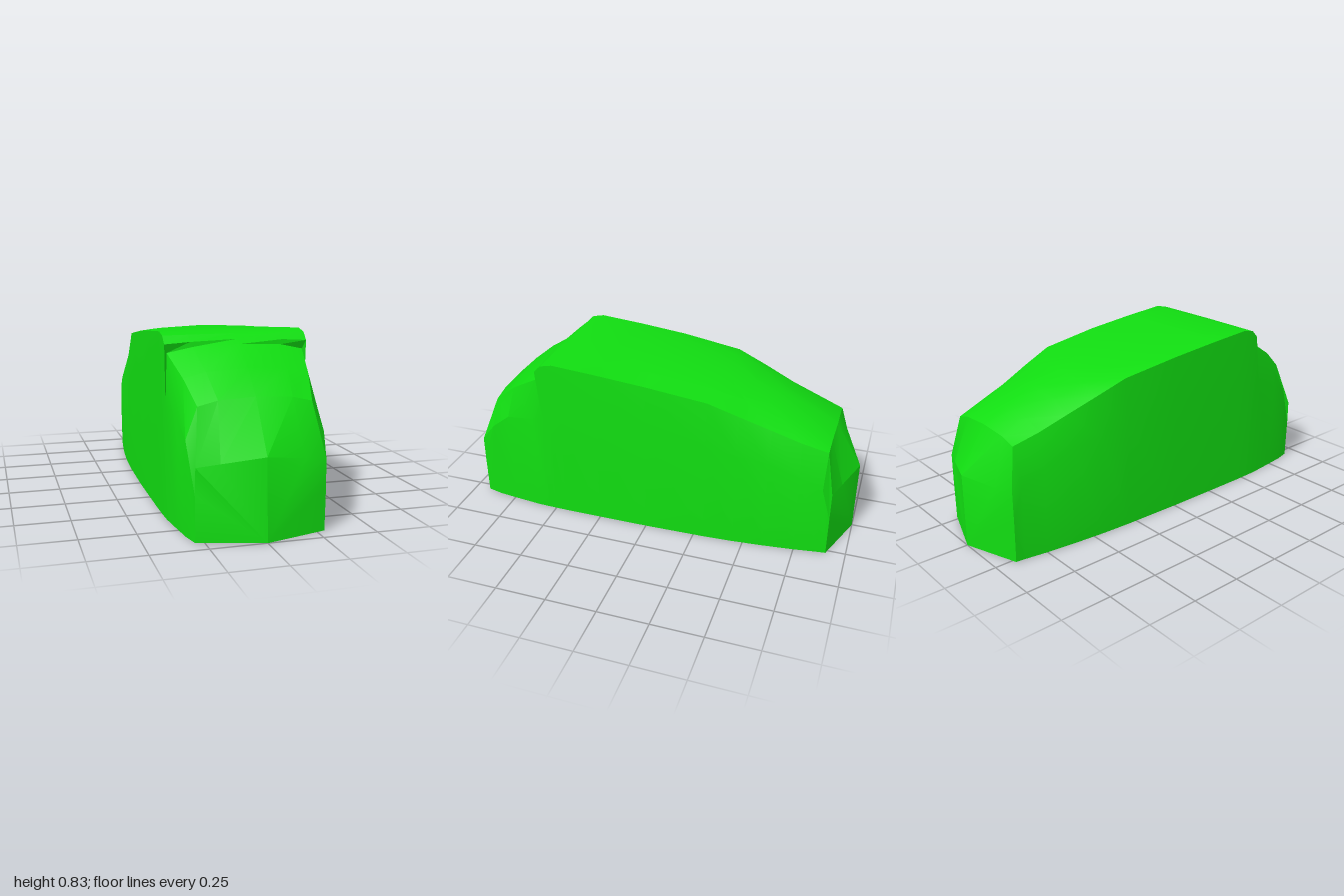
import * as THREE from 'three';
import { toCreasedNormals } from 'three/addons/utils/BufferGeometryUtils.js';

// Stations from nose to tail:
// [centre z, centre y, edge x, edge y, edge z, side x, shoulder y, side z, roundness]
const STATIONS = [
  [0.98, 0.36, 0.288, 0.32, 0.92, 0.29, 0.2, 0.92, 0], // nose
  [0.83, 0.585, 0.255, 0.555, 0.83, 0.309, 0.42, 0.84, 0.8], // windscreen base
  [0.72, 0.69, 0.285, 0.655, 0.71, 0.321, 0.5, 0.74, 0.8],
  [0.6, 0.78, 0.318, 0.745, 0.55, 0.336, 0.52, 0.6, 0.8], // windscreen top
  [0.565, 0.8, 0.332, 0.785, 0.565, 0.338, 0.54, 0.54, 0.3], // roof lip
  [0.53, 0.822, 0.333, 0.82, 0.53, 0.339, 0.55, 0.5, 0.3],
  [0.47, 0.835, 0.333, 0.833, 0.47, 0.34, 0.55, 0.44, 0.3], // roof front
  [0.25, 0.825, 0.331, 0.815, 0.25, 0.34, 0.55, 0.25, 0.4],
  [0, 0.812, 0.327, 0.79, 0, 0.339, 0.54, 0, 0.5],
  [-0.3, 0.778, 0.314, 0.748, -0.3, 0.332, 0.52, -0.3, 0.7],
  [-0.45, 0.743, 0.292, 0.69, -0.45, 0.324, 0.5, -0.45, 0.8],
  [-0.6, 0.698, 0.265, 0.63, -0.6, 0.311, 0.48, -0.6, 0.8],
  [-0.75, 0.635, 0.25, 0.58, -0.74, 0.294, 0.42, -0.75, 0.8],
  [-0.87, 0.575, 0.228, 0.54, -0.865, 0.277, 0.36, -0.86, 0.7], // tail top
  [-1, 0.36, 0.27, 0.34, -0.905, 0.272, 0.2, -0.905, 0], // tail
];

// One closed ring: centre, over the +x side, under the floor, back up the -x side
function ring([cz, cy, ex, ey, ez, sx, sy, sz, round], floorZ) {
  const f = 0.65;
  const drop = THREE.MathUtils.lerp(f, 0.2, round);
  const half = [
    [f * ex, cy + (ey - cy) * drop, cz + (ez - cz) * f],
    [ex, ey, ez],
    [sx, sy, sz],
    [sx - 0.002, 0, sz],
  ];
  const mirrored = half.map(([x, y, z]) => [-x, y, z]).reverse();
  return [[0, cy, cz], ...half, [0, 0, floorZ], ...mirrored];
}

function bodyGeometry() {
  const last = STATIONS.length - 1;
  const rings = STATIONS.map((s, i) => ring(s, i === 0 ? 1 : i === last ? -1 : s[7]));
  const n = rings[0].length;
  const index = [];
  for (let i = 0; i < last; i++) {
    for (let j = 0; j < n; j++) {
      const k = (j + 1) % n;
      const a = i * n + j, b = i * n + k;
      index.push(a, b, b + n, a, b + n, a + n);
    }
  }
  // Nose and tail panels fan out from the floor's centre point
  const hub = 5;
  for (let j = 0; j < n; j++) {
    const k = (j + 1) % n;
    if (j === hub || k === hub) continue;
    index.push(hub, k, j);
    index.push(last * n + hub, last * n + j, last * n + k);
  }
  const geometry = new THREE.BufferGeometry();
  geometry.setAttribute('position', new THREE.Float32BufferAttribute(rings.flat(2), 3));
  geometry.setIndex(index);
  return toCreasedNormals(geometry, 0.4);
}

export function createModel() {
  const model = new THREE.Group();
  model.name = 'carHull';
  const material = new THREE.MeshStandardMaterial({ color: 0x11dd11 });
  const body = new THREE.Mesh(bodyGeometry(), material);
  body.name = 'bodyShell';
  model.add(body);
  return model;
}
